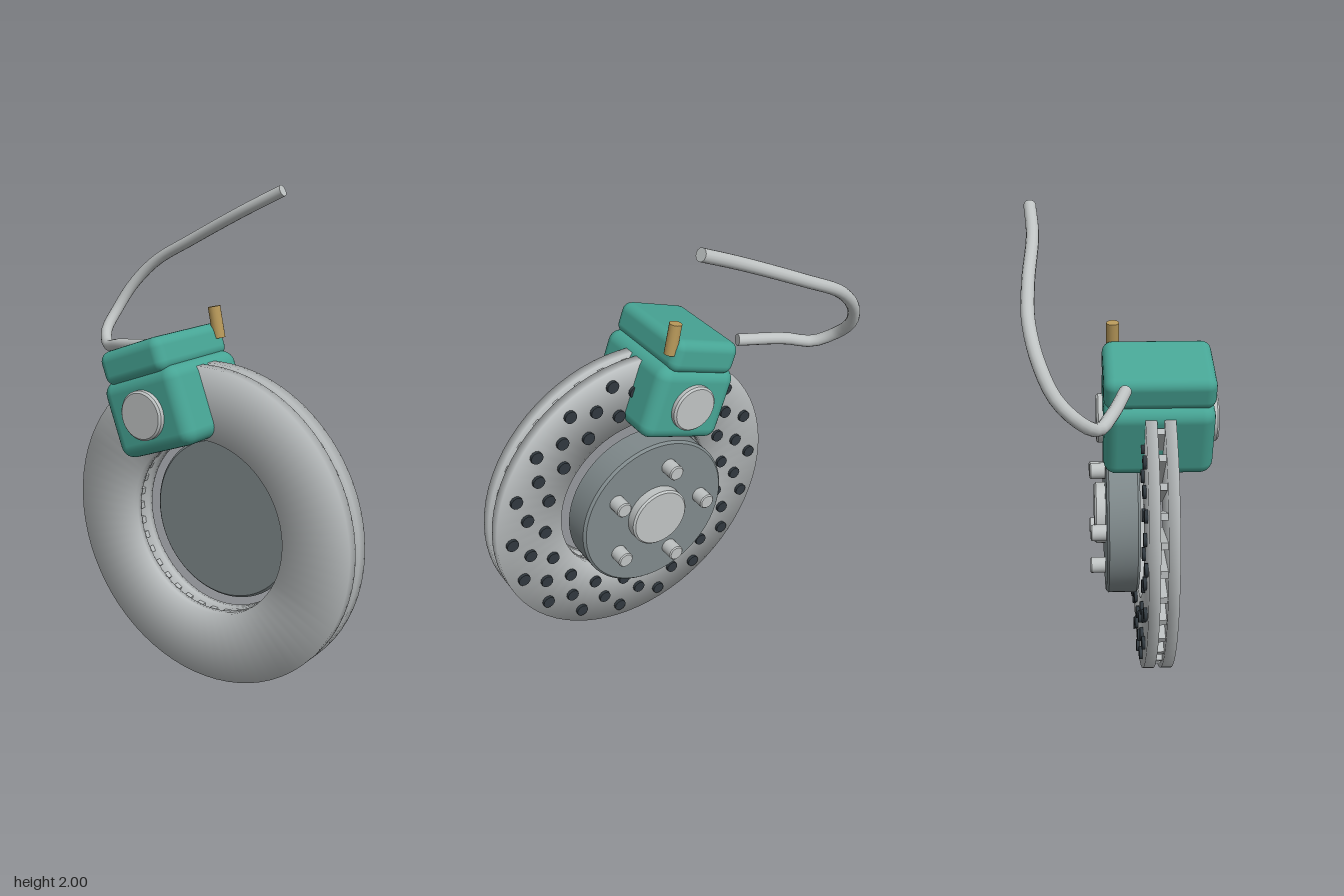
import * as THREE from 'three';
import { toCreasedNormals } from 'three/addons/utils/BufferGeometryUtils.js';
import { RoundedBoxGeometry } from 'three/addons/geometries/RoundedBoxGeometry.js';

const material = (name, color) => {
  const m = new THREE.MeshStandardMaterial({ color });
  m.name = name;
  return m;
};

const V2 = (x, y) => new THREE.Vector2(x, y);

// Solid disc along x from x0 to x1 with bevelled rims
function bevelledDisc(r, x0, x1, bevel, segments = 48) {
  const points = [
    V2(0, x0), V2(r - bevel, x0), V2(r, x0 + bevel),
    V2(r, x1 - bevel), V2(r - bevel, x1), V2(0, x1),
  ];
  const geo = new THREE.LatheGeometry(points, segments);
  geo.rotateZ(-Math.PI / 2);
  return toCreasedNormals(geo, 0.6);
}

// Flat ring along x whose corners are softly shaded
function softRing(inner, outer, half) {
  const points = [
    V2(inner, 0), V2(inner, -half), V2(outer, -half),
    V2(outer, half), V2(inner, half), V2(inner, 0),
  ];
  const geo = new THREE.LatheGeometry(points, 72);
  const pos = geo.attributes.position;
  const n = new THREE.Vector3();
  for (let i = 0; i < pos.count; i++) {
    const x = pos.getX(i), y = pos.getY(i), z = pos.getZ(i);
    const r = Math.hypot(x, z);
    const side = r > (inner + outer) / 2 ? 1 : -1;
    n.set(side * x / r, Math.sign(y), side * z / r).normalize();
    geo.attributes.normal.setXYZ(i, n.x, n.y, n.z);
  }
  geo.rotateZ(-Math.PI / 2);
  return geo;
}

export function createModel() {
  const model = new THREE.Group();
  model.name = 'discBrake';

  const iron = material('rotorIron', 0xb9bdbe);
  const hatGrey = material('hatGrey', 0x7f898b);
  const steel = material('lightSteel', 0xbfc3c3);
  const dark = material('holeDark', 0x30383e);
  const teal = material('caliperTeal', 0x47a595);
  const brass = material('brass', 0xb8995a);

  const add = (parent, name, geo, mat, x = 0, y = 0, z = 0) => {
    const mesh = new THREE.Mesh(geo, mat);
    mesh.name = name;
    mesh.position.set(x, y, z);
    parent.add(mesh);
    return mesh;
  };

  // Rotor: two plates joined by radial cooling vanes
  const rotor = new THREE.Group();
  rotor.name = 'rotor';
  rotor.position.set(0, 0.667, 0.1);
  model.add(rotor);

  const plate = softRing(0.37, 0.667, 0.0225);
  add(rotor, 'innerPlate', plate, iron, -0.177);
  add(rotor, 'outerPlate', plate, iron, -0.103);

  const vane = new THREE.BoxGeometry(0.032, 0.272, 0.028);
  for (let i = 0; i < 36; i++) {
    const a = i * Math.PI / 18;
    const m = add(rotor, 'vane', vane, iron, -0.14, 0.512 * Math.cos(a), 0.512 * Math.sin(a));
    m.rotation.x = a;
  }

  // Drilled pattern on the outer plate, staggered in three rings
  const hole = new THREE.CylinderGeometry(0.027, 0.027, 0.025, 12);
  hole.rotateZ(-Math.PI / 2);
  [[0.45, 0], [0.533, 0.5], [0.602, 0]].forEach(([r, shift]) => {
    for (let i = 0; i < 18; i++) {
      const a = (i + shift) * Math.PI / 9;
      add(rotor, 'drillHole', hole, dark, -0.079, r * Math.sin(a), -r * Math.cos(a));
    }
  });

  // Hat, hub cap and wheel studs
  add(rotor, 'hat', bevelledDisc(0.345, -0.07, 0.067, 0.01, 64), hatGrey);
  add(rotor, 'hubCap', bevelledDisc(0.132, 0.05, 0.113, 0.008), steel);
  const stud = bevelledDisc(0.034, 0.05, 0.132, 0.005, 20);
  for (let i = 0; i < 5; i++) {
    const a = i * Math.PI * 2 / 5;
    add(rotor, 'stud', stud, steel, 0, 0.228 * Math.sin(a), -0.228 * Math.cos(a));
  }

  // Caliper, tilted back around the rotor axis
  const caliper = new THREE.Group();
  caliper.name = 'caliper';
  caliper.position.copy(rotor.position);
  caliper.rotation.x = -Math.PI / 9;
  model.add(caliper);

  add(caliper, 'caliperBody', new RoundedBoxGeometry(0.44, 0.32, 0.39, 3, 0.055), teal, -0.14, 0.512, 0);
  add(caliper, 'caliperBridge', new RoundedBoxGeometry(0.44, 0.14, 0.325, 3, 0.042), teal, -0.14, 0.722, 0);
  add(caliper, 'outerPiston', bevelledDisc(0.1, 0.05, 0.106, 0.008), steel, 0, 0.512, 0);
  add(caliper, 'innerPiston', bevelledDisc(0.1, -0.386, -0.33, 0.008), steel, 0, 0.512, 0);

  // Bleed screw
  const bleeder = add(model, 'bleedScrew', new THREE.CylinderGeometry(0.026, 0.026, 0.13, 16), brass, 0.035, 1.465, -0.011);
  bleeder.rotation.x = -0.2;

  // Brake hose with closed ends
  const path = new THREE.CatmullRomCurve3([
    [0, 1.335, -0.355], [0.057, 1.305, -0.56], [0.11, 1.283, -0.67], [0.18, 1.335, -0.737],
    [0.255, 1.415, -0.738], [0.31, 1.525, -0.69], [0.345, 1.64, -0.58],
    [0.352, 1.748, -0.38], [0.342, 1.885, -0.1], [0.357, 1.977, 0.093],
  ].map((p) => new THREE.Vector3(...p)));
  const hose = new THREE.Group();
  hose.name = 'brakeHose';
  model.add(hose);
  add(hose, 'hoseTube', new THREE.TubeGeometry(path, 40, 0.025, 14), steel);
  [[0, -1], [1, 1]].forEach(([t, sign]) => {
    const end = path.getPointAt(t);
    const cap = add(hose, 'hoseEnd', new THREE.CircleGeometry(0.025, 14), steel, end.x, end.y, end.z);
    cap.quaternion.setFromUnitVectors(new THREE.Vector3(0, 0, 1), path.getTangentAt(t).multiplyScalar(sign));
  });

  return model;
}
